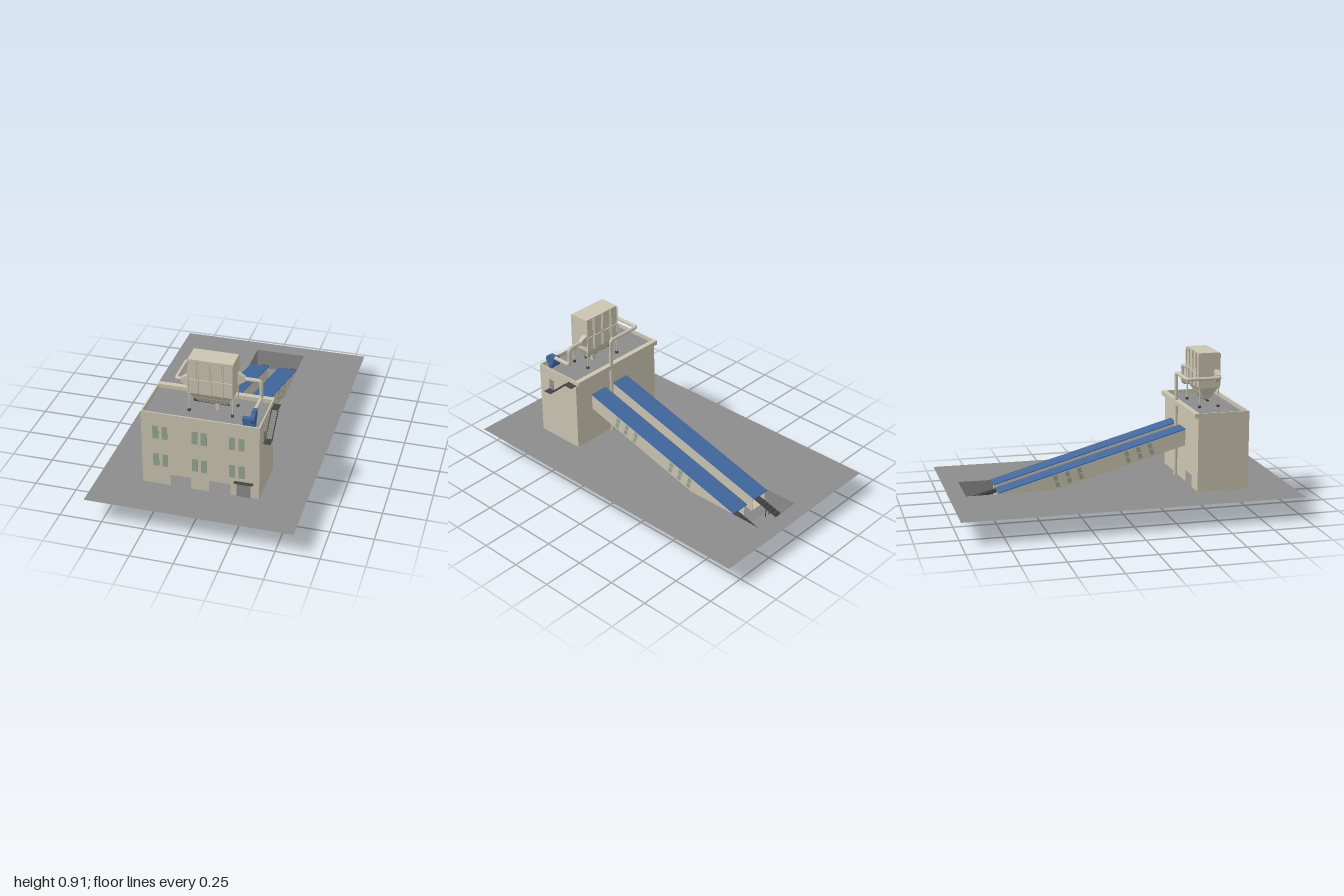
import * as THREE from 'three';

const mat = (name, color, side = THREE.FrontSide) => {
  const m = new THREE.MeshStandardMaterial({ color, side });
  m.name = name;
  return m;
};

export function createModel() {
  const root = new THREE.Group();
  root.name = 'conveyorPlant';
  const tan = mat('tan cladding', 0xcbc5b0, THREE.DoubleSide);
  const grey = mat('concrete grey', 0x8c8c8c, THREE.DoubleSide);
  const blue = mat('blue sheet', 0x41689f);
  const glass = mat('green glass', 0x98a891);
  const dark = mat('dark steel', 0x444444);

  const add = (name, geo, m, x = 0, y = 0, z = 0) => {
    const mesh = new THREE.Mesh(geo, m);
    mesh.name = name;
    mesh.position.set(x, y, z);
    root.add(mesh);
    return mesh;
  };
  // Box given by its limits on each axis
  const box = (name, m, x0, x1, y0, y1, z0, z1) =>
    add(name, new THREE.BoxGeometry(x1 - x0, y1 - y0, z1 - z0), m, (x0 + x1) / 2, (y0 + y1) / 2, (z0 + z1) / 2);
  const poly = (pts) => new THREE.Shape(pts.map((p) => new THREE.Vector2(...p)));
  const rect = (x0, x1, y0, y1) => poly([[x0, y0], [x1, y0], [x1, y1], [x0, y1]]);
  // Profile in (z, y) extruded between two x positions
  const sideProfile = (name, m, pts, x0, x1) => {
    const g = new THREE.ExtrudeGeometry(poly(pts), { depth: x1 - x0, bevelEnabled: false });
    g.rotateY(-Math.PI / 2);
    return add(name, g, m, x1, 0, 0);
  };
  // Box whose lower face is resized
  const frustum = (w, d, h, w2, d2) => {
    const g = new THREE.BoxGeometry(w, h, d).toNonIndexed();
    const p = g.attributes.position;
    for (let i = 0; i < p.count; i++) {
      if (p.getY(i) < 0) p.setXYZ(i, p.getX(i) * w2 / w, p.getY(i), p.getZ(i) * d2 / d);
    }
    g.computeVertexNormals();
    return g;
  };
  // Pipe through points with rounded elbows
  const pipe = (name, pts, r, bend = 0.025) => {
    const v = pts.map((p) => new THREE.Vector3(...p));
    const path = new THREE.CurvePath();
    let from = v[0];
    for (let i = 1; i < v.length - 1; i++) {
      const a = v[i].clone().add(v[i - 1].clone().sub(v[i]).setLength(bend));
      const b = v[i].clone().add(v[i + 1].clone().sub(v[i]).setLength(bend));
      path.add(new THREE.LineCurve3(from, a));
      path.add(new THREE.QuadraticBezierCurve3(a, v[i], b));
      from = b;
    }
    path.add(new THREE.LineCurve3(from, v[v.length - 1]));
    add(name, new THREE.TubeGeometry(path, 120, r, 12), tan);
  };

  // Ground with the pit opening
  const G = 0.132;
  const ground = rect(-0.6, 0.6, -1, 1);
  ground.holes.push(rect(-0.1, 0.215, 0.35, 0.9));
  add('ground', new THREE.ShapeGeometry(ground).rotateX(-Math.PI / 2), grey, 0, G, 0);

  // Pit: side walls, sloped floor, flat floor, end wall
  const pit = [[-0.35, G], [-0.72, 0], [-0.9, 0], [-0.9, G]];
  for (const x of [-0.1, 0.215]) {
    add('pitSide', new THREE.ShapeGeometry(poly(pit)).rotateY(-Math.PI / 2), grey, x, 0, 0);
  }
  for (let i = 0; i < 3; i++) {
    const [z0, y0] = pit[i], [z1, y1] = pit[i + 1];
    const floor = add('pitFloor', new THREE.PlaneGeometry(0.315, Math.hypot(z1 - z0, y1 - y0)), grey,
      0.0575, (y0 + y1) / 2, (z0 + z1) / 2);
    floor.rotation.x = Math.atan2(z1 - z0, y1 - y0);
  }

  // Building walls with drive-through openings
  const wall = (name, z, openings) => {
    const pts = [[-0.34, G]];
    for (const [a, b] of openings) pts.push([a, G], [a, 0.203], [b, 0.203], [b, G]);
    pts.push([0.34, G], [0.34, 0.6], [-0.34, 0.6]);
    add(name, new THREE.ExtrudeGeometry(poly(pts), { depth: 0.008, bevelEnabled: false }), tan, 0, 0, z);
  };
  wall('frontWall', 0.727, [[-0.175, -0.055], [0.052, 0.175]]);
  wall('backWall', 0.425, [[-0.22, -0.1]]);
  for (const x of [-0.34, 0.332]) box('sideWall', tan, x, x + 0.008, G, 0.6, 0.433, 0.727);
  box('roof', grey, -0.332, 0.332, 0.57, 0.576, 0.433, 0.727);
  box('backLedge', tan, -0.34, 0.34, 0.572, 0.6, 0.402, 0.425);

  // Loading hoppers above the openings
  for (const x of [-0.115, 0.113]) {
    add('loadingHopper', frustum(0.12, 0.12, 0.03, 0.07, 0.07), tan, x, 0.192, 0.6);
    box('hopperRim', dark, x - 0.06, x + 0.06, 0.203, 0.209, 0.53, 0.7);
  }

  // Front windows, door and canopy
  for (const [x0, x1] of [[-0.275, -0.24], [-0.22, -0.188], [-0.047, -0.014], [0.005, 0.04], [0.166, 0.2], [0.221, 0.254]]) {
    for (const y of [0.253, 0.434]) box('window', glass, x0, x1, y, y + 0.082, 0.735, 0.737);
  }
  box('door', grey, 0.21, 0.29, G, 0.223, 0.735, 0.738);
  box('doorCanopy', dark, 0.197, 0.307, 0.227, 0.231, 0.735, 0.757);

  // Outside stair on the left wall
  box('upperDoor', grey, 0.34, 0.343, 0.46, 0.525, 0.62, 0.655);
  box('lowerLanding', dark, 0.34, 0.38, 0.453, 0.458, 0.61, 0.66);
  box('upperLanding', dark, 0.34, 0.38, 0.57, 0.575, 0.425, 0.485);
  for (let i = 0; i < 12; i++) {
    const y = 0.462 + i * 0.0095, z = 0.61 - i * 0.0105;
    box('stairTread', grey, 0.343, 0.378, y, y + 0.004, z - 0.012, z);
  }
  for (const x of [0.34, 0.377]) {
    sideProfile('stairStringer', dark, [[0.615, 0.453], [0.615, 0.463], [0.485, 0.577], [0.475, 0.57]], x, x + 0.004);
  }

  // Inclined conveyor galleries
  const top = (z) => 0.455 - 0.28 * (0.435 - z);
  const strip = (z0, z1, d0, d1) => [[z0, top(z0) - d0], [z1, top(z1) - d0], [z1, top(z1) - d1], [z0, top(z0) - d1]];
  for (const [cx, out] of [[-0.031, -1], [0.153, 1]]) {
    for (const s of [-1, 1]) {
      const x = cx + s * 0.056;
      sideProfile('gallerySide', tan, strip(-0.69, 0.43, 0.004, 0.1), x - 0.002, x + 0.002);
    }
    sideProfile('galleryFloor', tan, strip(-0.69, 0.43, 0.096, 0.1), cx - 0.054, cx + 0.054);
    sideProfile('galleryRoof', blue, strip(-0.705, 0.43, -0.001, 0.004), cx - 0.059, cx + 0.059);
    // Windows on the outer side, two panes each, square to the slope
    for (const z of [0.215, 0.145, 0.072, -0.215, -0.285, -0.357]) {
      for (const d of [0.015, 0.053]) {
        const pane = box('galleryWindow', glass, -0.001, 0.001, -0.0165, 0.0165, -0.012, 0.012);
        pane.position.set(cx + out * 0.0585, top(z) - d - 0.017, z + (0.05 - d) * -0.28);
        pane.rotation.x = -Math.atan(0.28);
      }
    }
    // Belt frame, rollers and tail drum reaching into the pit
    const bx = cx < 0 ? -0.043 : 0.153;
    sideProfile('belt', dark, strip(-0.87, 0.4, 0.052, 0.06), bx - 0.013, bx + 0.013);
    for (const s of [-0.018, 0.015]) sideProfile('beltFrame', dark, strip(-0.87, 0.4, 0.05, 0.065), bx + s, bx + s + 0.003);
    for (let i = 0; i < 7; i++) {
      const z = -0.87 + i * 0.027;
      add('roller', new THREE.CylinderGeometry(0.007, 0.007, 0.036, 10).rotateZ(Math.PI / 2), dark, bx, top(z) - 0.054, z);
    }
    for (const z of [-0.85, -0.75]) {
      for (const s of [-0.016, 0.016]) box('beltLeg', dark, bx + s - 0.002, bx + s + 0.002, 0, top(z) - 0.06, z - 0.002, z + 0.002);
    }
  }

  // Dust filter: housing, ribs, hopper, legs
  box('filterHousing', tan, -0.097, 0.16, 0.695, 0.907, 0.505, 0.63);
  for (const z of [0.502, 0.633]) {
    for (const x of [-0.095, -0.045, -0.035, 0.026, 0.036, 0.097, 0.107, 0.158]) {
      box('filterRib', tan, x - 0.002, x + 0.002, 0.695, 0.9, z - 0.003, z + 0.003);
    }
    box('filterRail', tan, -0.097, 0.16, 0.783, 0.787, z - 0.003, z + 0.003);
  }
  add('filterHopper', frustum(0.246, 0.12, 0.077, 0.165, 0.025), tan, 0.031, 0.656, 0.567);
  box('hopperBand', tan, -0.066, 0.13, 0.655, 0.659, 0.53, 0.604);
  for (const x of [-0.093, 0.156]) {
    for (const z of [0.51, 0.625]) {
      box('filterLeg', tan, x - 0.003, x + 0.003, 0.576, 0.7, z - 0.003, z + 0.003);
      box('legFoot', dark, x - 0.007, x + 0.007, 0.576, 0.59, z - 0.007, z + 0.007);
    }
  }
  add('screwConveyor', new THREE.CylinderGeometry(0.006, 0.006, 0.2, 10).rotateZ(Math.PI / 2), dark, 0.022, 0.614, 0.567);
  box('screwOutlet', tan, 0.045, 0.067, 0.576, 0.614, 0.557, 0.577);

  // Duct transitions and ducts
  for (const [x, z, s, h] of [[-0.118, 0.612, 1, 0.042], [0.181, 0.522, -1, 0.042]]) {
    add('ductTransition', frustum(0.075, 0.034, h, 0.024, 0.024), tan, x, 0.767, z).rotation.z = -s * Math.PI / 2;
  }
  pipe('cleanAirDuct', [[0.2, 0.767, 0.522], [0.292, 0.767, 0.522], [0.292, 0.66, 0.522], [0.292, 0.655, 0.68]].map(
    (p, i) => (i === 2 ? [0.292, 0.655, 0.522] : p)), 0.012);
  pipe('dustDuct', [[-0.135, 0.767, 0.612], [-0.168, 0.767, 0.612], [-0.168, 0.767, 0.41], [0.057, 0.767, 0.41], [0.057, G, 0.41]], 0.011, 0.018);

  // Blue fan and motor
  add('fanCasing', new THREE.CylinderGeometry(0.032, 0.032, 0.024, 24).rotateZ(Math.PI / 2), blue, 0.292, 0.63, 0.685);
  box('fanInlet', blue, 0.28, 0.304, 0.635, 0.668, 0.645, 0.685);
  add('fanMotor', new THREE.CylinderGeometry(0.014, 0.014, 0.05, 16).rotateZ(Math.PI / 2), blue, 0.256, 0.618, 0.685);
  box('fanBase', blue, 0.232, 0.304, 0.576, 0.606, 0.672, 0.698);

  return root;
}
